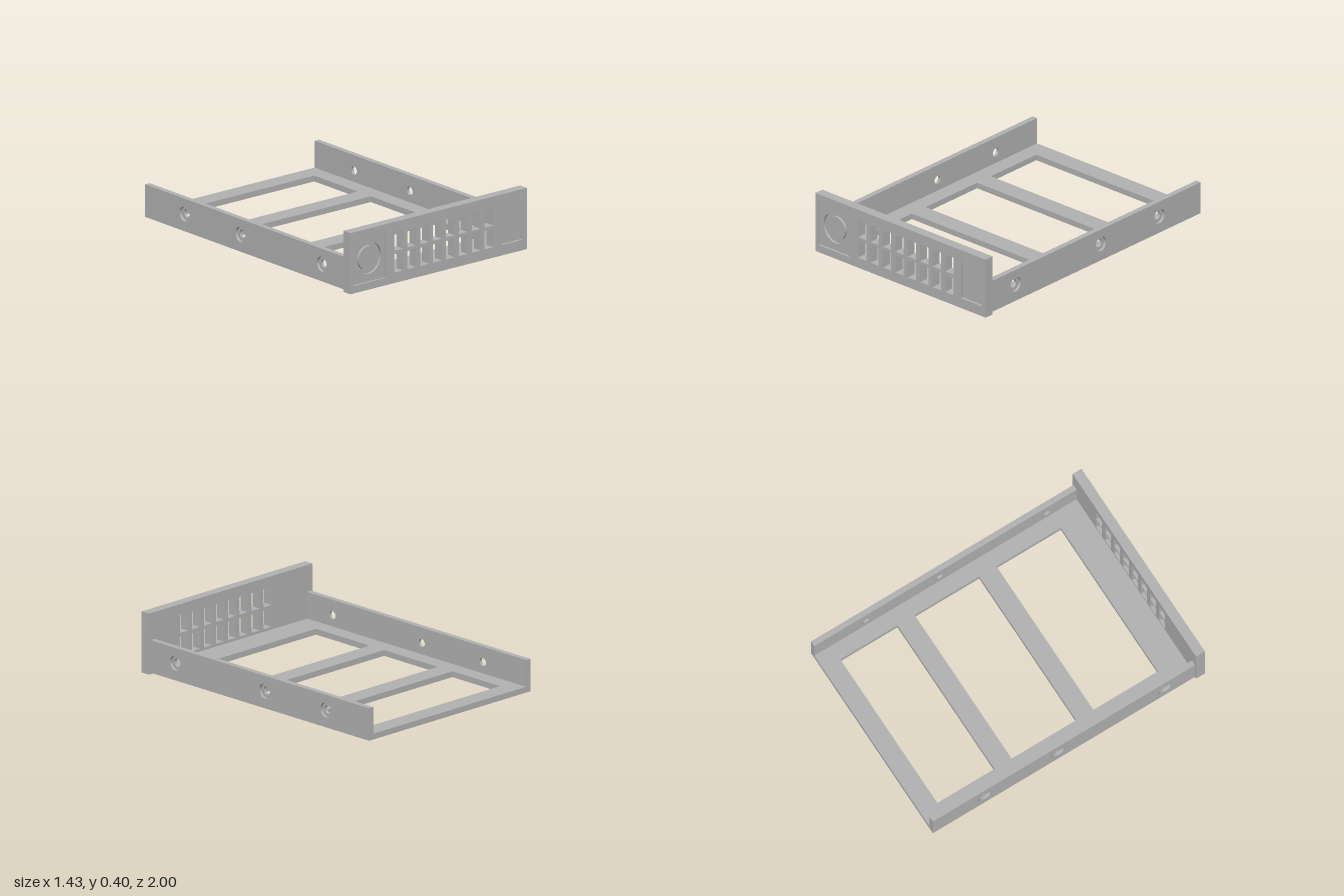
import * as THREE from 'three';

const FRONT = 1, BACK = -1, PANEL_BACK = 0.935;
const WALL_OUT = 0.707, WALL_IN = 0.67, TRAY_BOTTOM = 0.012, FLOOR_TOP = 0.05, WALL_TOP = 0.225;

// Closed outlines used both as shapes and as holes
function rect(x0, y0, x1, y1) {
  return new THREE.Shape([[x0, y0], [x1, y0], [x1, y1], [x0, y1]].map(p => new THREE.Vector2(...p)));
}
function circle(x, y, r) {
  const s = new THREE.Shape();
  s.absarc(x, y, r, 0, Math.PI * 2, false);
  return s;
}

// Flat plate with holes, extruded along z from z0 to z1
function plate(outline, holes, z0, z1) {
  outline.holes.push(...holes);
  const g = new THREE.ExtrudeGeometry(outline, { depth: z1 - z0, bevelEnabled: false, curveSegments: 32 });
  return g.translate(0, 0, z0);
}

export function createModel() {
  const model = new THREE.Group();
  model.name = 'driveTray';
  const grey = new THREE.MeshStandardMaterial({ color: 0xb2b2b2 });
  grey.name = 'grey';

  function add(name, geometry, parent = model) {
    const mesh = new THREE.Mesh(geometry, grey);
    mesh.name = name;
    parent.add(mesh);
    return mesh;
  }

  // Front panel with two rows of vents and two recesses
  const panel = new THREE.Group();
  panel.name = 'frontPanel';
  model.add(panel);
  const vents = [];
  for (let i = 0; i < 8; i++) {
    const x = -0.358 + i * 0.1047;
    vents.push(rect(x, 0.068, x + 0.07, 0.188), rect(x, 0.211, x + 0.07, 0.328));
  }
  const dialRecess = [-0.69, 0.049, -0.428, 0.354];
  const labelRecess = [0.508, 0.068, 0.681, 0.333];
  add('panelFace', plate(rect(-0.717, 0, 0.717, 0.4),
    [...vents, rect(...dialRecess), rect(...labelRecess)], PANEL_BACK, FRONT), panel);

  // Recess floors, with a round groove around a button on the dial side
  const cx = -0.558, cy = 0.201, ringR = 0.104, buttonR = 0.079;
  add('dialRecessFloor', plate(rect(...dialRecess), [circle(cx, cy, ringR)], PANEL_BACK, 0.985), panel);
  add('dialGroove', plate(circle(cx, cy, ringR), [circle(cx, cy, buttonR)], PANEL_BACK, 0.968), panel);
  add('dialButton', plate(circle(cx, cy, buttonR), [], PANEL_BACK, 0.985), panel);
  add('labelRecessFloor', plate(rect(...labelRecess), [], PANEL_BACK, 0.982), panel);

  // Tray floor with three large openings (shape y is -z)
  const openings = [[-0.876, -0.455], [-0.328, 0.148], [0.275, 0.75]]
    .map(([z0, z1]) => rect(-0.564, -z1, 0.563, -z0));
  add('floor', plate(rect(-WALL_IN, -PANEL_BACK, WALL_IN, -BACK), openings, TRAY_BOTTOM, FLOOR_TOP)
    .rotateX(-Math.PI / 2));

  // Side walls with counterbored screw holes
  const screwZ = [0.711, -0.078, -0.618], screwY = 0.124;
  for (const side of [1, -1]) {
    const wall = new THREE.Group();
    wall.name = side > 0 ? 'leftWall' : 'rightWall';
    wall.rotation.y = side * Math.PI / 2;
    model.add(wall);
    const ends = [-side * PANEL_BACK, -side * BACK].sort((a, b) => a - b);
    add('wallPlate', plate(rect(ends[0], TRAY_BOTTOM, ends[1], WALL_TOP),
      screwZ.map(z => circle(-side * z, screwY, 0.048)), WALL_IN, WALL_OUT), wall);
    for (const z of screwZ) {
      add('screwSeat', plate(circle(-side * z, screwY, 0.048),
        [circle(-side * z, screwY, 0.027)], WALL_IN, 0.688), wall);
    }
  }
  return model;
}
